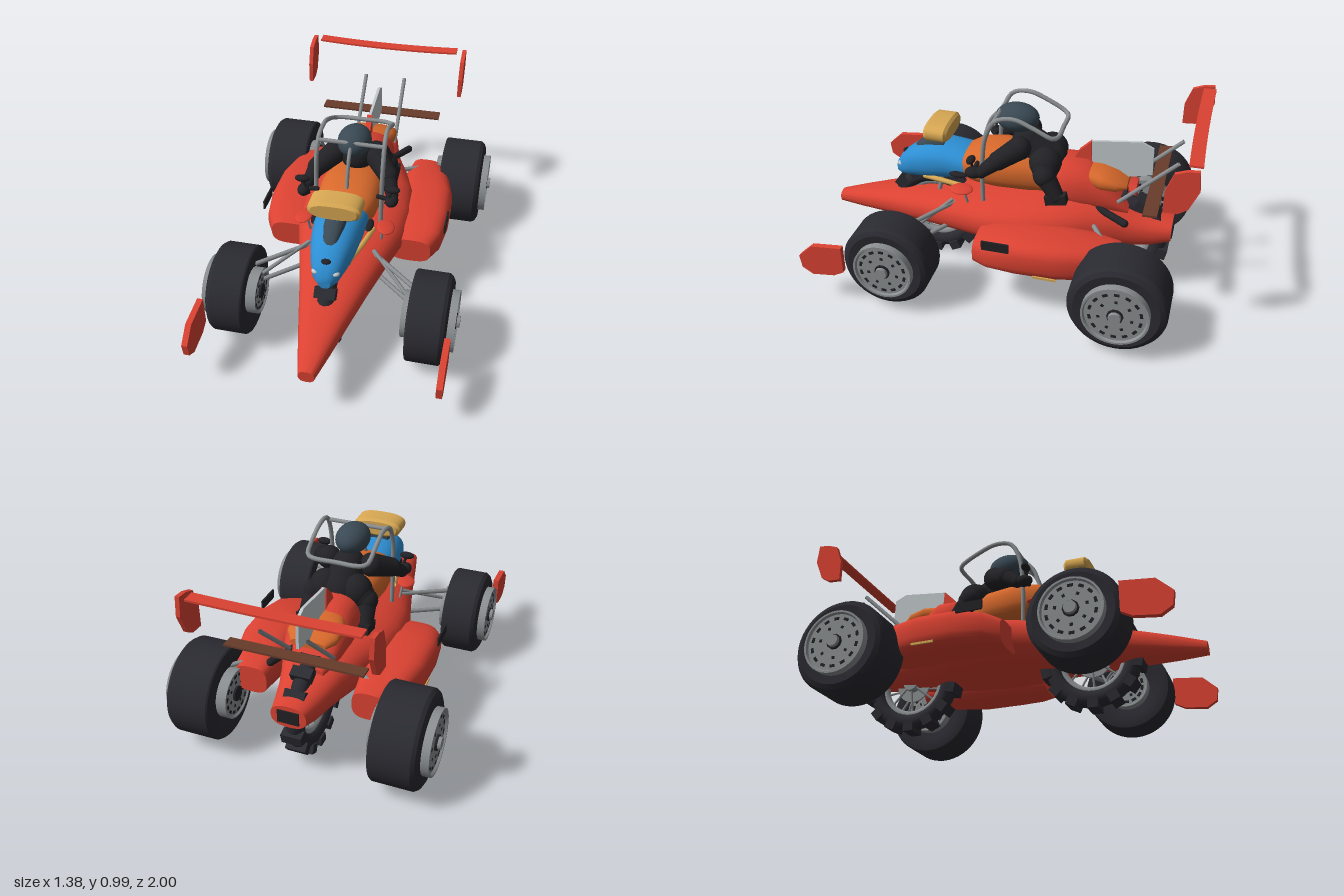
import * as THREE from 'three';
import { toCreasedNormals } from 'three/addons/utils/BufferGeometryUtils.js';

const V = (x, y, z) => new THREE.Vector3(x, y, z);

export function createModel() {
  const model = new THREE.Group();
  model.name = 'raceCarWithMotorbike';
  const mat = (name, color) => {
    const m = new THREE.MeshStandardMaterial({ color, side: THREE.DoubleSide });
    m.name = name;
    return m;
  };
  const red = mat('red', 0xdb4232), rubber = mat('rubber', 0x2a2a31), grey = mat('grey', 0x8b8f91);
  const black = mat('black', 0x222226), slate = mat('slate', 0x3a4954), orange = mat('orange', 0xd8692c);
  const blue = mat('blue', 0x2d8fd4), tan = mat('tan', 0xd8a853), brown = mat('brown', 0x683c2b);
  const pale = mat('pale', 0xc2c9cc);

  const add = (name, geo, m, parent = model) => {
    const mesh = new THREE.Mesh(geo, m);
    mesh.name = name;
    parent.add(mesh);
    return mesh;
  };
  const box = (name, m, w, h, d, x, y, z, parent) => {
    const b = add(name, new THREE.BoxGeometry(w, h, d), m, parent);
    b.position.set(x, y, z);
    return b;
  };
  const ball = (name, m, x, y, z, rx, ry, rz) => {
    const b = add(name, new THREE.SphereGeometry(1, 24, 16), m);
    b.position.set(x, y, z);
    b.scale.set(rx, ry, rz);
    return b;
  };
  const tube = (name, m, pts, r, parent) => {
    const curve = new THREE.CatmullRomCurve3(pts, false, 'centripetal');
    return add(name, new THREE.TubeGeometry(curve, pts.length > 2 ? 40 : 1, r, 8), m, parent);
  };
  // Tapered rod with round ends
  const limb = (name, m, a, b, ra, rb) => {
    const rod = add(name, new THREE.CylinderGeometry(rb, ra, a.distanceTo(b), 16), m);
    rod.position.copy(a).lerp(b, 0.5);
    rod.quaternion.setFromUnitVectors(V(0, 1, 0), b.clone().sub(a).normalize());
    ball(name + 'Joint', m, b.x, b.y, b.z, rb, rb, rb);
    ball(name + 'Joint', m, a.x, a.y, a.z, ra, ra, ra);
  };
  // Closed hull through stations [z, halfWidth, bottom, top, centreX], front to back
  const loft = (name, m, stations, p = 0.8, n = 32) => {
    const pos = [], idx = [];
    const count = stations.length;
    stations.forEach(([z, w, y0, y1, cx = 0]) => {
      for (let i = 0; i < n; i++) {
        const a = (i / n) * Math.PI * 2, c = Math.cos(a), s = Math.sin(a);
        pos.push(cx + w * Math.sign(c) * Math.abs(c) ** p,
          (y0 + y1) / 2 + (y1 - y0) / 2 * Math.sign(s) * Math.abs(s) ** p, z);
      }
    });
    [0, count - 1].forEach((k) => {
      const [z, , y0, y1, cx = 0] = stations[k];
      pos.push(cx, (y0 + y1) / 2, z);
    });
    for (let i = 0; i < n; i++) {
      const i2 = (i + 1) % n, last = (count - 1) * n;
      for (let k = 0; k < count - 1; k++) {
        const a = k * n + i, b = k * n + i2;
        idx.push(a, a + n, b, b, a + n, b + n);
      }
      idx.push(count * n, i, i2, count * n + 1, last + i2, last + i);
    }
    const g = new THREE.BufferGeometry();
    g.setAttribute('position', new THREE.Float32BufferAttribute(pos, 3));
    g.setIndex(idx);
    return add(name, toCreasedNormals(g, 0.7), m);
  };
  // Upright plate from a [z, y] outline
  const plate = (name, m, pts, x, t) => {
    const shape = new THREE.Shape(pts.map(([z, y]) => new THREE.Vector2(z, y)));
    const g = new THREE.ExtrudeGeometry(shape, { depth: t, bevelEnabled: false });
    g.rotateY(-Math.PI / 2).translate(x + t / 2, 0, 0);
    return add(name, g, m);
  };

  // Car hull, low at the back so the bike wheel shows
  loft('carBody', red, [[1, 0.04, 0.22, 0.285], [0.85, 0.08, 0.22, 0.33], [0.7, 0.118, 0.225, 0.37],
    [0.45, 0.18, 0.235, 0.42], [0.25, 0.235, 0.24, 0.465], [0.08, 0.285, 0.245, 0.495],
    [-0.1, 0.305, 0.245, 0.52], [-0.28, 0.29, 0.25, 0.54], [-0.45, 0.225, 0.25, 0.54],
    [-0.6, 0.165, 0.26, 0.5], [-0.68, 0.14, 0.27, 0.465], [-0.78, 0.115, 0.28, 0.445], [-0.88, 0.09, 0.31, 0.43]]);
  box('rearOpening', black, 0.11, 0.07, 0.008, 0, 0.37, -0.882);
  loft('engineCover', red, [[-0.25, 0.11, 0.45, 0.67], [-0.3, 0.14, 0.45, 0.72], [-0.42, 0.145, 0.45, 0.72],
    [-0.52, 0.13, 0.45, 0.64], [-0.6, 0.105, 0.45, 0.555], [-0.65, 0.08, 0.44, 0.5]]);
  plate('finLeadingEdge', red, [[-0.34, 0.7], [-0.37, 0.76], [-0.43, 0.82], [-0.44, 0.68]], 0, 0.03);
  plate('engineFin', pale, [[-0.38, 0.7], [-0.43, 0.82], [-0.68, 0.85], [-0.745, 0.82], [-0.75, 0.67], [-0.62, 0.64]], 0, 0.015);

  for (const s of [-1, 1]) {
    const side = s > 0 ? 'left' : 'right';
    loft(side + 'Sidepod', red, [[0.08, 0.11, 0.25, 0.39, s * 0.33], [0, 0.13, 0.25, 0.425, s * 0.355],
      [-0.15, 0.145, 0.25, 0.455, s * 0.36], [-0.35, 0.145, 0.25, 0.46, s * 0.355],
      [-0.5, 0.13, 0.255, 0.45, s * 0.335], [-0.65, 0.085, 0.27, 0.42, s * 0.31]], 0.65);
    box(side + 'PodVent', black, 0.009, 0.05, 0.14, s * 0.5, 0.433, -0.06);
    box(side + 'PodStripe', tan, 0.008, 0.012, 0.12, s * 0.492, 0.282, -0.31);

    // Wings
    plate(side + 'FrontWingPlate', red, [[0.957, 0.27], [0.88, 0.343], [0.716, 0.36], [0.716, 0.21],
      [0.77, 0.18], [0.89, 0.165], [0.947, 0.2]], s * 0.615, 0.03);
    plate(side + 'RearWingPlate', red, [[-0.845, 0.867], [-0.88, 0.963], [-0.936, 0.984], [-0.99, 0.989],
      [-1, 0.89], [-0.957, 0.787], [-0.914, 0.76], [-0.845, 0.755]], s * 0.447, 0.022);
    tube(side + 'WingStrut', grey, [V(s * 0.115, 0.55, -0.6), V(s * 0.115, 0.82, -0.88)], 0.011);

    // Suspension arms
    for (const y of [0.28, 0.4]) {
      tube(side + 'FrontSuspension', grey, [V(s * 0.16, y + 0.03, 0.26), V(s * 0.41, y, 0.45)], 0.012);
      tube(side + 'RearSuspension', grey, [V(s * 0.17, y + 0.04, -0.48), V(s * 0.44, y, -0.66)], 0.013);
    }
    tube(side + 'FrontPushrod', grey, [V(s * 0.17, 0.45, 0.27), V(s * 0.4, 0.33, 0.47)], 0.01);

    // Car mirrors lying flat beside the cockpit
    ball(side + 'CarMirror', red, s * 0.217, 0.555, 0.2, 0.046, 0.012, 0.06).rotation.z = -s * 0.15;
    tube(side + 'CarMirrorStalk', grey, [V(s * 0.19, 0.46, 0.18), V(s * 0.2, 0.55, 0.2)], 0.007);

    // Car wheels
    const carWheel = (name, x, y, z, R, half, rim) => {
      const wheel = new THREE.Group();
      wheel.name = side + name;
      wheel.position.set(s * x, y, z);
      wheel.rotation.z = -s * Math.PI / 2;
      model.add(wheel);
      const lathe = (label, m, pts) => add(label, toCreasedNormals(
        new THREE.LatheGeometry(pts.map(([r, h]) => new THREE.Vector2(r, h)), 48), 0.5), m, wheel);
      lathe('tyre', rubber, [[rim - 0.04, -half + 0.02], [rim + 0.01, -half + 0.004], [R - 0.03, -half], [R - 0.006, -half + 0.004],
        [R, -half + 0.012], [R, half - 0.03], [R - 0.012, half - 0.012], [R - 0.035, half], [rim, half - 0.005]]);
      const h = half + 0.035, inner = rim - 0.035;
      lathe('rim', grey, [[0, -h + 0.008], [inner - 0.012, -h + 0.008], [inner - 0.006, -h], [inner, -h],
        [inner, -half + 0.02], [rim, -half + 0.02], [rim, h], [rim - 0.01, h], [rim - 0.016, h - 0.012], [0, h - 0.012]]);
      // Rim openings on both faces
      for (const [face, r] of [[h - 0.011, rim], [-h + 0.007, inner]]) {
        for (let i = 0; i < 14; i++) {
          const a = i / 14 * Math.PI * 2, c = Math.cos(a) * r, d = Math.sin(a) * r;
          box('rimSlot', black, 0.014, 0.004, 0.026, c * 0.76, face, d * 0.76, wheel).rotation.y = -a;
          if (i % 2) box('rimHole', black, 0.014, 0.004, 0.014, c * 0.5, face, d * 0.5, wheel).rotation.y = -a;
        }
        add('hub', new THREE.CylinderGeometry(0.04, 0.04, 0.02, 10), black, wheel).position.y = face;
      }
      add('axleNut', new THREE.CylinderGeometry(0.03, 0.034, 0.03, 12), grey, wheel).position.y = h;
    };
    carWheel('FrontWheel', 0.505, 0.262, 0.495, 0.232, 0.1, 0.155);
    carWheel('RearWheel', 0.52, 0.275, -0.695, 0.245, 0.12, 0.165);
  }
  // Rear wing: bowed upper blade and flat lower blade
  const blade = new THREE.BoxGeometry(0.81, 0.01, 0.065, 16, 1, 1);
  const bp = blade.attributes.position;
  for (let i = 0; i < bp.count; i++) {
    const k = Math.abs(bp.getX(i)) / 0.4;
    bp.setY(i, bp.getY(i) + 0.008 * k * k);
    bp.setZ(i, bp.getZ(i) - 0.006 * k * k);
  }
  blade.computeVertexNormals();
  add('upperRearWing', blade, red).position.set(0, 0.977, -0.962);
  box('lowerRearWing', brown, 0.695, 0.01, 0.07, 0, 0.648, -0.782).rotation.x = 0.05;

  // Motorbike wheels
  for (const [name, z] of [['bikeFrontWheel', 0.42], ['bikeRearWheel', -0.6]]) {
    const wheel = new THREE.Group();
    wheel.name = name;
    wheel.position.set(0, 0.275, z);
    wheel.rotation.y = Math.PI / 2;
    model.add(wheel);
    add('tyre', new THREE.TorusGeometry(0.212, 0.045, 12, 40), rubber, wheel);
    add('rim', new THREE.TorusGeometry(0.168, 0.022, 8, 40), grey, wheel);
    add('hub', new THREE.CylinderGeometry(0.04, 0.04, 0.1, 16), grey, wheel).rotation.x = Math.PI / 2;
    add('brakeDisc', new THREE.CylinderGeometry(0.095, 0.095, 0.01, 24), grey, wheel).rotation.x = Math.PI / 2;
    for (let i = 0; i < 14; i++) {
      const a = (i + 0.5) / 14 * Math.PI * 2, c = Math.cos(a), d = Math.sin(a);
      box('knob', rubber, 0.05, 0.056, 0.106, c * 0.246, d * 0.246, 0, wheel).rotation.z = a;
      tube('spoke', grey, [V(c * 0.03, d * 0.03, 0.03 * (i % 2 ? 1 : -1)), V(c * 0.16, d * 0.16, 0)], 0.006, wheel);
    }
  }

  // Motorbike bodywork
  loft('bikeNose', blue, [[0.635, 0.03, 0.48, 0.545], [0.6, 0.068, 0.475, 0.605], [0.53, 0.094, 0.48, 0.66],
    [0.44, 0.115, 0.49, 0.698], [0.34, 0.127, 0.51, 0.712], [0.21, 0.13, 0.53, 0.69]], 0.85);
  loft('fuelTank', orange, [[0.23, 0.125, 0.54, 0.69], [0.16, 0.155, 0.525, 0.73], [0.04, 0.165, 0.515, 0.745],
    [-0.12, 0.15, 0.515, 0.73], [-0.28, 0.1, 0.52, 0.66]], 0.8);
  loft('tailFairing', orange, [[-0.42, 0.105, 0.6, 0.7], [-0.5, 0.136, 0.59, 0.7], [-0.58, 0.13, 0.59, 0.675],
    [-0.635, 0.09, 0.6, 0.64]], 0.8);
  loft('windscreen', slate, [[0.55, 0.015, 0.59, 0.635], [0.5, 0.038, 0.6, 0.69], [0.43, 0.052, 0.62, 0.735],
    [0.35, 0.055, 0.63, 0.755]]);
  loft('bedroll', tan, [[0.44, 0.115, 0.75, 0.825], [0.425, 0.132, 0.738, 0.838], [0.325, 0.132, 0.738, 0.838],
    [0.31, 0.115, 0.75, 0.825]], 0.75);
  ball('noseVent', black, 0, 0.61, 0.585, 0.025, 0.012, 0.02);
  limb('exhaust', black, V(0.12, 0.5, -0.5), V(0.195, 0.48, -0.65), 0.018, 0.02);

  // Rider
  ball('helmet', slate, 0, 0.9, -0.04, 0.087, 0.075, 0.115);
  limb('torso', black, V(0, 0.69, -0.21), V(0, 0.775, -0.1), 0.1, 0.085);
  for (const s of [-1, 1]) {
    tube('fork', grey, [V(s * 0.062, 0.25, 0.42), V(s * 0.062, 0.53, 0.36)], 0.012);
    ball('headlight', pale, s * 0.05, 0.555, 0.6, 0.02, 0.013, 0.02);
    ball('sideVent', black, s * 0.14, 0.59, 0.245, 0.022, 0.014, 0.05);
    tube('tankTrim', tan, [V(s * 0.075, 0.51, 0.46), V(s * 0.12, 0.525, 0.33), V(s * 0.15, 0.525, 0.19)], 0.014);
    limb('upperArm', black, V(s * 0.115, 0.785, -0.08), V(s * 0.19, 0.74, 0.01), 0.062, 0.05);
    limb('forearm', black, V(s * 0.19, 0.74, 0.01), V(s * 0.225, 0.68, 0.09), 0.046, 0.032);
    ball('glove', black, s * 0.23, 0.675, 0.13, 0.034, 0.03, 0.045);
    limb('handlebar', black, V(s * 0.16, 0.69, 0.13), V(s * 0.25, 0.675, 0.13), 0.012, 0.012);
    limb('thigh', black, V(s * 0.08, 0.7, -0.21), V(s * 0.14, 0.66, -0.22), 0.085, 0.06);
    limb('shin', black, V(s * 0.14, 0.66, -0.22), V(s * 0.16, 0.56, -0.29), 0.055, 0.04);
    box('boot', black, 0.07, 0.05, 0.11, s * 0.16, 0.55, -0.29).rotation.x = 0.2;
    ball('bikeMirror', black, s * 0.235, 0.75, 0.14, 0.039, 0.018, 0.022);
    tube('bikeMirrorStalk', black, [V(s * 0.2, 0.66, 0.14), V(s * 0.235, 0.745, 0.14)], 0.007);
    // Roll cage sides
    tube('cageSide', grey, [V(s * 0.17, 0.47, 0.1), V(s * 0.172, 0.7, 0.1), V(s * 0.173, 0.86, 0.08),
      V(s * 0.17, 0.95, 0.03), V(s * 0.165, 0.97, -0.06), V(s * 0.165, 0.935, -0.16), V(s * 0.155, 0.885, -0.26),
      V(s * 0.12, 0.88, -0.28), V(0, 0.88, -0.282)], 0.012);
  }
  tube('cageFrontBar', grey, [V(-0.172, 0.935, 0.045), V(0.172, 0.935, 0.045)], 0.011);
  tube('cageCentreStrut', grey, [V(0, 0.935, 0.045), V(0, 0.87, 0.1), V(0, 0.72, 0.15)], 0.01);
  return model;
}
